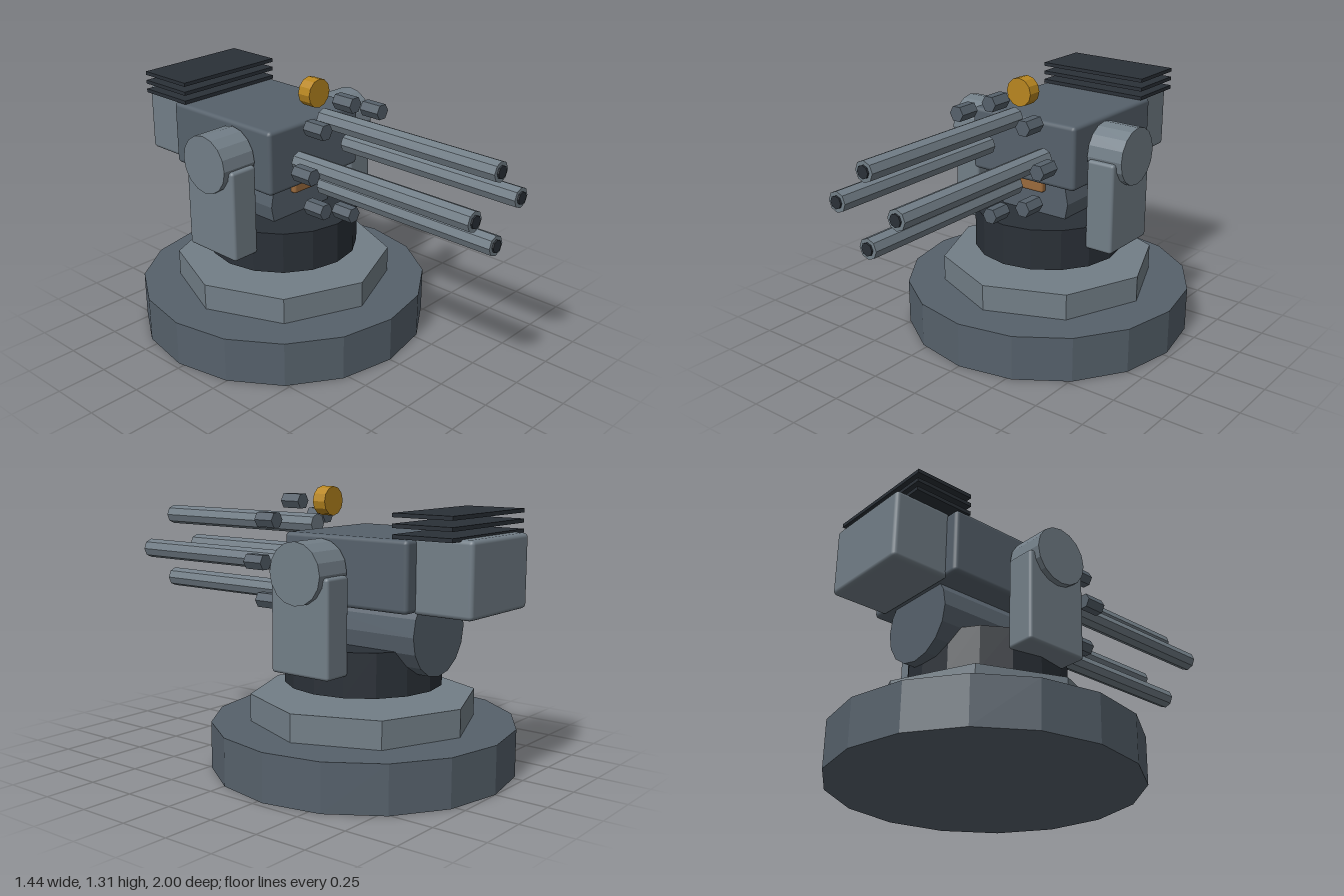
import * as THREE from 'three';
import { RoundedBoxGeometry } from 'three/addons/geometries/RoundedBoxGeometry.js';

const mat = (color, flatShading = false) => new THREE.MeshStandardMaterial({ color, flatShading });
const STEEL = 0x56616b, LIGHT = 0x727e87, DARK = 0x2a3037, AMBER = 0xb8861f, COPPER = 0x9a6a3c;
const CZ = -0.28; // turning axis

export function createModel() {
  const model = new THREE.Group();
  model.name = 'turret';

  const add = (name, geometry, color, x, y, z, flat = false, parent = model) => {
    const mesh = new THREE.Mesh(geometry, mat(color, flat));
    mesh.name = name;
    mesh.position.set(x, y, z);
    parent.add(mesh);
    return mesh;
  };
  // Upright prism between two heights
  const disc = (name, r, y0, y1, sides, color) =>
    add(name, new THREE.CylinderGeometry(r, r, y1 - y0, sides), color, 0, (y0 + y1) / 2, CZ, true);
  // Prism lying along z between z0 and z1
  const rod = (name, r, sides, x, y, z0, z1, color, turn = 0, parent = model) =>
    add(name, new THREE.CylinderGeometry(r, r, z1 - z0, sides).rotateY(turn).rotateX(Math.PI / 2),
      color, x, y, (z0 + z1) / 2, true, parent);
  // Softly bevelled block
  const block = (name, w, h, d, bevel, color, x, y, z) =>
    add(name, new RoundedBoxGeometry(w, h, d, 2, bevel), color, x, y, z);

  // Stepped base and turntable
  disc('base', 0.72, 0, 0.225, 16, STEEL);
  disc('baseStep', 0.535, 0.225, 0.355, 8, LIGHT);
  disc('turntable', 0.372, 0.41, 0.615, 16, DARK);

  // Side arms with trunnions
  for (const [side, s] of [['left', 1], ['right', -1]]) {
    block(side + 'Arm', 0.147, 0.446, 0.32, 0.015, LIGHT, s * 0.402, 0.731, CZ);
    add(side + 'Trunnion', new THREE.CylinderGeometry(0.14, 0.14, 0.187, 16).rotateZ(Math.PI / 2),
      LIGHT, s * 0.411, 0.964, CZ, true);
  }

  // Gun housing, rear box and the drum slung below
  block('housing', 0.605, 0.315, 0.67, 0.02, STEEL, 0, 0.962, -0.388);
  block('rearBox', 0.47, 0.333, 0.29, 0.02, LIGHT, 0, 0.964, -0.852);
  rod('ammoDrum', 0.205, 16, 0, 0.69, -0.695, -0.15, STEEL);
  block('feedBlock', 0.146, 0.14, 0.16, 0.012, COPPER, 0, 0.8, -0.2);

  // Cooling fins above the rear
  for (let i = 0; i < 3; i++)
    add('coolingFin', new THREE.BoxGeometry(0.595, 0.018, 0.295), DARK, 0, 1.131 + i * 0.045, -0.789);

  // Four barrels with dark bores
  for (let i = 0; i < 4; i++) {
    const a = i * Math.PI / 2, barrel = new THREE.Group();
    barrel.name = 'barrel';
    const x = Math.cos(a) * 0.168, y = 0.964 + Math.sin(a) * 0.168;
    rod('barrelTube', 0.048, 8, x, y, 0, 0.992, LIGHT, 0, barrel);
    rod('bore', 0.03, 8, x, y, 0.9, 1, DARK, 0, barrel);
    model.add(barrel);
  }

  // Ring of hexagonal studs around the barrels
  for (let i = 0; i < 8; i++) {
    const a = i * Math.PI / 4;
    rod('ringStud', 0.04, 6, Math.cos(a) * 0.272, 0.964 + Math.sin(a) * 0.272, 0.09, 0.197, STEEL, Math.PI / 6);
  }

  // Sight lens
  rod('sight', 0.069, 12, 0, 1.244, -0.097, -0.027, AMBER);

  return model;
}
